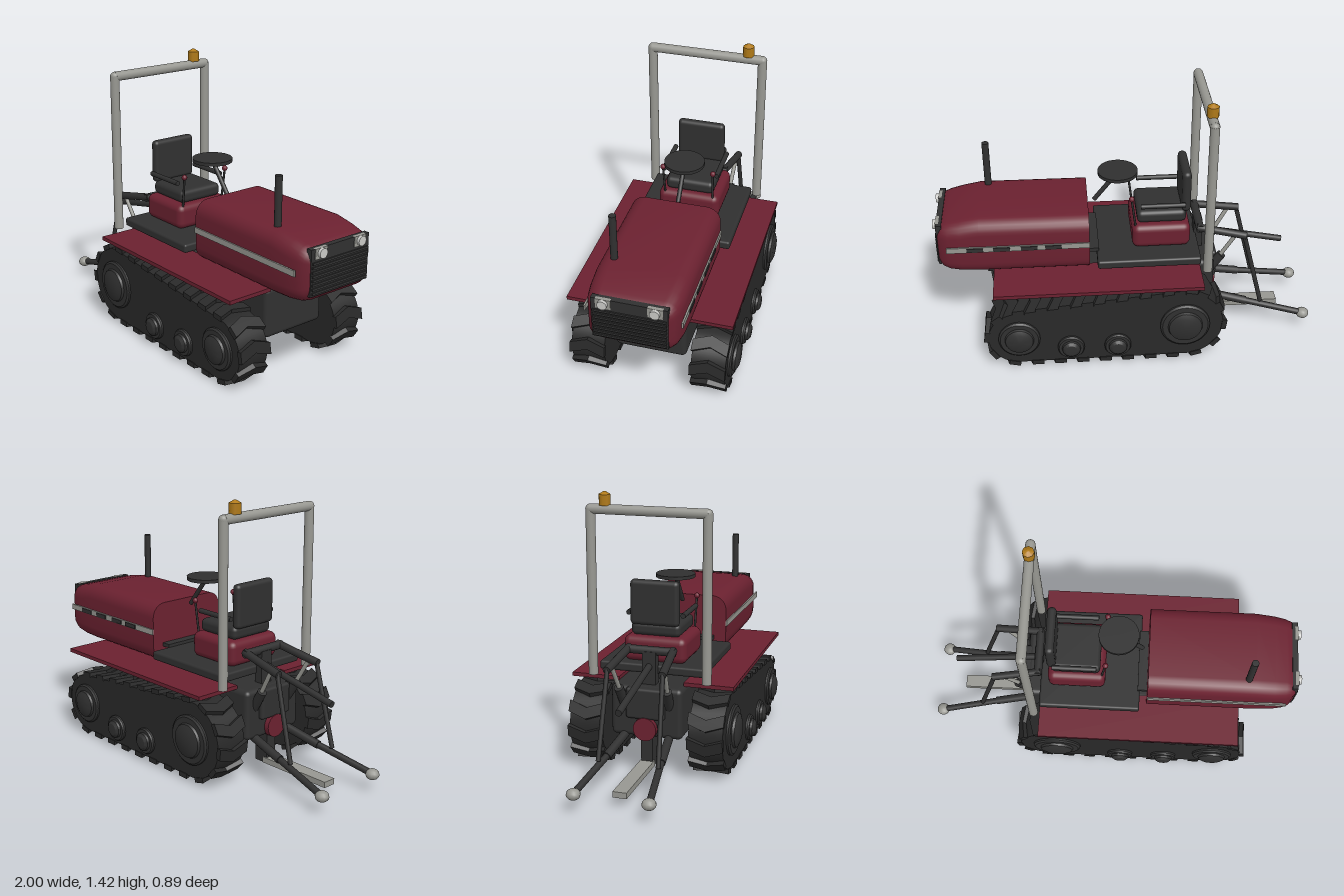
import * as THREE from 'three';
import { toCreasedNormals } from 'three/addons/utils/BufferGeometryUtils.js';
import { RoundedBoxGeometry } from 'three/addons/geometries/RoundedBoxGeometry.js';

const mat = (name, color) => Object.assign(new THREE.MeshStandardMaterial({ color }), { name });
const V = (x, y, z) => new THREE.Vector3(x, y, z);

export function createModel() {
  const red = mat('dark red paint', 0x6b2130);
  const dark = mat('dark plastic', 0x303030);
  const rubber = mat('track rubber', 0x292929);
  const grey = mat('grey metal', 0x979791);
  const lens = mat('lamp lens', 0xc9c9c6);
  const amber = mat('amber', 0xb07a18);

  const model = new THREE.Group();
  model.name = 'crawlerTractor';
  const add = (name, geo, m, parent = model) => {
    const mesh = new THREE.Mesh(geo, m);
    mesh.name = name;
    parent.add(mesh);
    return mesh;
  };
  // Box given by its min and max on each axis; r rounds the edges
  const box = (name, m, [x0, x1], [y0, y1], [z0, z1], r = 0) => {
    const s = [x1 - x0, y1 - y0, z1 - z0];
    const g = r ? new RoundedBoxGeometry(...s, 3, r) : new THREE.BoxGeometry(...s);
    return add(name, g.translate((x0 + x1) / 2, (y0 + y1) / 2, (z0 + z1) / 2), m);
  };
  // Round bar between two points
  const rod = (name, m, a, b, r, sides = 16) => {
    const d = b.clone().sub(a);
    const mesh = add(name, new THREE.CylinderGeometry(r, r, d.length(), sides), m);
    mesh.position.copy(a).add(b).multiplyScalar(0.5);
    mesh.quaternion.setFromUnitVectors(V(0, 1, 0), d.normalize());
    return mesh;
  };

  // Hood lofted from rounded rectangles: x, half width, bottom, top, corner radius
  const sections = [
    [0.2, 0.235, 0.475, 0.79, 0.075], [0.76, 0.235, 0.475, 0.793, 0.075],
    [0.86, 0.231, 0.477, 0.776, 0.075], [0.92, 0.222, 0.485, 0.762, 0.07],
    [0.955, 0.208, 0.5, 0.75, 0.06], [0.975, 0.185, 0.525, 0.73, 0.045],
  ];
  const ring = ([x, w, y0, y1, r]) => {
    const pts = [];
    [[w - r, y1 - r], [r - w, y1 - r], [r - w, y0 + r], [w - r, y0 + r]].forEach(([cz, cy], q) => {
      for (let i = 0; i <= 6; i++) {
        const a = (q + i / 6) * Math.PI / 2;
        pts.push(V(x, cy + r * Math.sin(a), cz + r * Math.cos(a)));
      }
    });
    return pts;
  };
  const tris = [];
  const rings = sections.map(ring), n = rings[0].length;
  for (let s = 0; s < rings.length - 1; s++) for (let i = 0; i < n; i++) {
    const j = (i + 1) % n, a = rings[s], b = rings[s + 1];
    tris.push(a[i], a[j], b[i], b[i], a[j], b[j]);
  }
  const last = rings[rings.length - 1], first = rings[0];
  for (let i = 1; i < n - 1; i++) {
    tris.push(first[0], first[i + 1], first[i], last[0], last[i], last[i + 1]);
  }
  // Rings run from +z up to +y, so side faces are reversed to point outward
  const sideCount = (rings.length - 1) * n * 6;
  for (let i = 0; i < tris.length; i += 3) {
    const c = tris[i].clone().add(tris[i + 1]).add(tris[i + 2]).divideScalar(3).sub(V(0.58, 0.63, 0));
    const nor = tris[i + 1].clone().sub(tris[i]).cross(tris[i + 2].clone().sub(tris[i]));
    if (i < sideCount) c.x *= 0.05;
    if (nor.dot(c) < 0) [tris[i + 1], tris[i + 2]] = [tris[i + 2], tris[i + 1]];
  }
  add('hood', toCreasedNormals(new THREE.BufferGeometry().setFromPoints(tris), 0.6), red);

  // Grille with ribs and headlamps
  box('grille', dark, [0.95, 0.979], [0.525, 0.757], [-0.185, 0.185]);
  for (let i = 0; i < 8; i++) {
    const y = 0.535 + i * 0.021;
    box('grilleRib', dark, [0.975, 0.986], [y, y + 0.011], [-0.178, 0.178]);
  }
  for (const s of [1, -1]) {
    const z = s * 0.125;
    box('headlampBracket', grey, [0.965, 0.983], [0.705, 0.757], [z - 0.037, z + 0.037]);
    rod('headlamp', lens, V(0.97, 0.733, z), V(0.998, 0.733, z), 0.024, 20);
    box('hoodStripe', grey, [0.2, 0.93], [0.625, 0.655], [z < 0 ? -0.242 : 0.233, z < 0 ? -0.233 : 0.242]);
  }
  for (const x of [0.386, 0.51, 0.65, 0.785]) {
    box('stripeVent', dark, [x - 0.042, x + 0.042], [0.63, 0.651], [-0.247, -0.241]);
  }
  rod('exhaust', dark, V(0.72, 0.76, 0.155), V(0.72, 1.04, 0.155), 0.018);

  // Chassis, fenders and platform
  box('chassis', dark, [-0.46, 0.685], [0.2, 0.462], [-0.185, 0.185], 0.025);
  box('platform', dark, [-0.375, 0.162], [0.507, 0.553], [-0.275, 0.275], 0.012);
  for (const z of [[0.17, 0.425], [-0.425, -0.17]]) box('fender', red, [-0.375, 0.7], [0.457, 0.477], z);

  // Seat
  box('seatBase', red, [-0.33, -0.025], [0.55, 0.683], [-0.165, 0.165], 0.035);
  box('seatCushion', dark, [-0.31, -0.052], [0.683, 0.752], [-0.13, 0.13], 0.025);
  box('seatBack', dark, [-0.332, -0.285], [0.742, 0.973], [-0.128, 0.128], 0.022);
  for (const s of [1, -1]) {
    rod('armrest', dark, V(-0.3, 0.797, s * 0.143), V(-0.07, 0.797, s * 0.143), 0.013);
    rod('lever', dark, V(-0.045, 0.66, s * 0.13), V(-0.023, 0.835, s * 0.135), 0.006, 8);
    add('leverKnob', new THREE.SphereGeometry(0.015, 12, 8), red).position.set(-0.023, 0.84, s * 0.135);
  }

  // Steering
  rod('steeringWheel', dark, V(0.04, 0.92, 0), V(0.04, 0.938, 0), 0.104, 32);
  rod('steeringColumn', dark, V(0.04, 0.925, 0), V(0.165, 0.765, 0), 0.012);
  box('dashPost', dark, [0.15, 0.205], [0.55, 0.57], [-0.17, 0.17]);

  // Roll bar and beacon
  for (const s of [1, -1]) {
    rod('rollBarPost', grey, V(-0.405, 0.49, s * 0.297), V(-0.405, 1.335, s * 0.297), 0.024, 20);
    add('rollBarCorner', new THREE.SphereGeometry(0.0245, 16, 10), grey).position.set(-0.405, 1.33, s * 0.297);
  }
  rod('rollBarTop', grey, V(-0.405, 1.33, -0.297), V(-0.405, 1.33, 0.297), 0.025, 20);
  rod('beacon', amber, V(-0.405, 1.35, -0.222), V(-0.405, 1.403, -0.222), 0.03, 8);
  add('beaconCap', new THREE.CylinderGeometry(0.006, 0.03, 0.014, 8), amber).position.set(-0.405, 1.41, -0.222);

  // Tracks: a belt around two wheels, with chevron lugs and hubs
  const A = { x: -0.283, y: 0.222, r: 0.2 }, B = { x: 0.583, y: 0.18, r: 0.16 };
  const slope = Math.atan2(B.y - A.y, B.x - A.x);
  const spread = Math.acos((A.r - B.r) / Math.hypot(B.x - A.x, B.y - A.y));
  const belt = new THREE.Shape();
  belt.absarc(A.x, A.y, A.r, slope + spread, slope - spread + 2 * Math.PI, false);
  belt.absarc(B.x, B.y, B.r, slope - spread, slope + spread, false);
  belt.closePath();
  const beltGeo = toCreasedNormals(
    new THREE.ExtrudeGeometry(belt, { depth: 0.175, bevelEnabled: false, curveSegments: 20 }), 0.5);
  const chevron = new THREE.Shape([[-0.042, -0.092], [0.018, -0.092], [0.05, 0], [0.018, 0.092],
    [-0.042, 0.092], [-0.01, 0]].map(([u, v]) => new THREE.Vector2(u, v)));
  const lugGeo = new THREE.ExtrudeGeometry(chevron, { depth: 0.026, bevelEnabled: false });
  const hubGeo = (r) => {
    const profile = [[r, 0], [r, 0.012], [r * 0.92, 0.02], [r * 0.7, 0.02], [r * 0.66, 0.032],
      [r * 0.45, 0.043], [0, 0.046]].map(([x, y]) => new THREE.Vector2(x, y));
    return toCreasedNormals(new THREE.LatheGeometry(profile, 32).rotateX(Math.PI / 2), 0.5);
  };
  const hubs = [[A.x, A.y, 0.13], [B.x, B.y, 0.108], [0.07, 0.11, 0.07], [0.315, 0.11, 0.07]];
  for (const s of [1, -1]) {
    const track = new THREE.Group();
    track.name = s > 0 ? 'leftTrack' : 'rightTrack';
    model.add(track);
    add('trackBelt', beltGeo, rubber, track).position.z = s > 0 ? 0.225 : -0.4;
    const count = 24;
    for (let i = 0; i < count; i++) {
      const p = belt.getPoint(i / count), t = belt.getTangent((i + 0.001) / count);
      const lug = add('trackLug', lugGeo, rubber, track);
      const frame = new THREE.Matrix4().makeBasis(V(t.x, t.y, 0), V(0, 0, 1), V(t.y, -t.x, 0));
      lug.quaternion.setFromRotationMatrix(frame);
      lug.position.set(p.x - t.y * 0.006, p.y + t.x * 0.006, s * 0.3125);
    }
    for (const [x, y, r] of hubs) {
      const hub = add('wheelHub', hubGeo(r), dark, track);
      hub.position.set(x, y, s * 0.398);
      if (s < 0) hub.rotation.y = Math.PI;
    }
  }

  // Rear hitch
  box('hitchHousing', dark, [-0.485, -0.36], [0.3, 0.46], [-0.1, 0.1], 0.015);
  rod('shaftCover', red, V(-0.45, 0.25, 0), V(-0.487, 0.25, 0), 0.06, 24);
  rod('liftShaft', dark, V(-0.385, 0.632, -0.13), V(-0.385, 0.632, 0.13), 0.022);
  box('liftShaftSupport', dark, [-0.41, -0.365], [0.45, 0.63], [-0.035, 0.035]);
  rod('topLink', dark, V(-0.85, 0.462, 0), V(-0.37, 0.562, 0), 0.017);
  box('drawbar', grey, [-0.85, -0.425], [0.04, 0.07], [-0.035, 0.035]);
  box('drawbarMount', dark, [-0.45, -0.37], [0.04, 0.21], [-0.03, 0.03]);
  for (const s of [1, -1]) {
    rod('liftArm', dark, V(-0.37, 0.637, s * 0.115), V(-0.63, 0.587, s * 0.14), 0.02);
    rod('liftRod', dark, V(-0.62, 0.59, s * 0.14), V(-0.73, 0.16, s * 0.152), 0.012);
    rod('liftPiston', grey, V(-0.57, 0.585, s * 0.135), V(-0.47, 0.41, s * 0.12), 0.011);
    rod('liftCylinder', dark, V(-0.505, 0.465, s * 0.125), V(-0.42, 0.33, s * 0.115), 0.024);
    rod('lowerArm', dark, V(-0.44, 0.205, s * 0.115), V(-0.65, 0.155, s * 0.14), 0.022);
    rod('lowerArmEnd', dark, V(-0.64, 0.157, s * 0.139), V(-0.96, 0.087, s * 0.185), 0.017);
    const ball = add('armBall', new THREE.SphereGeometry(0.035, 12, 8), grey);
    ball.position.set(-0.965, 0.085, s * 0.185);
    ball.scale.y = 0.8;
  }
  return model;
}
